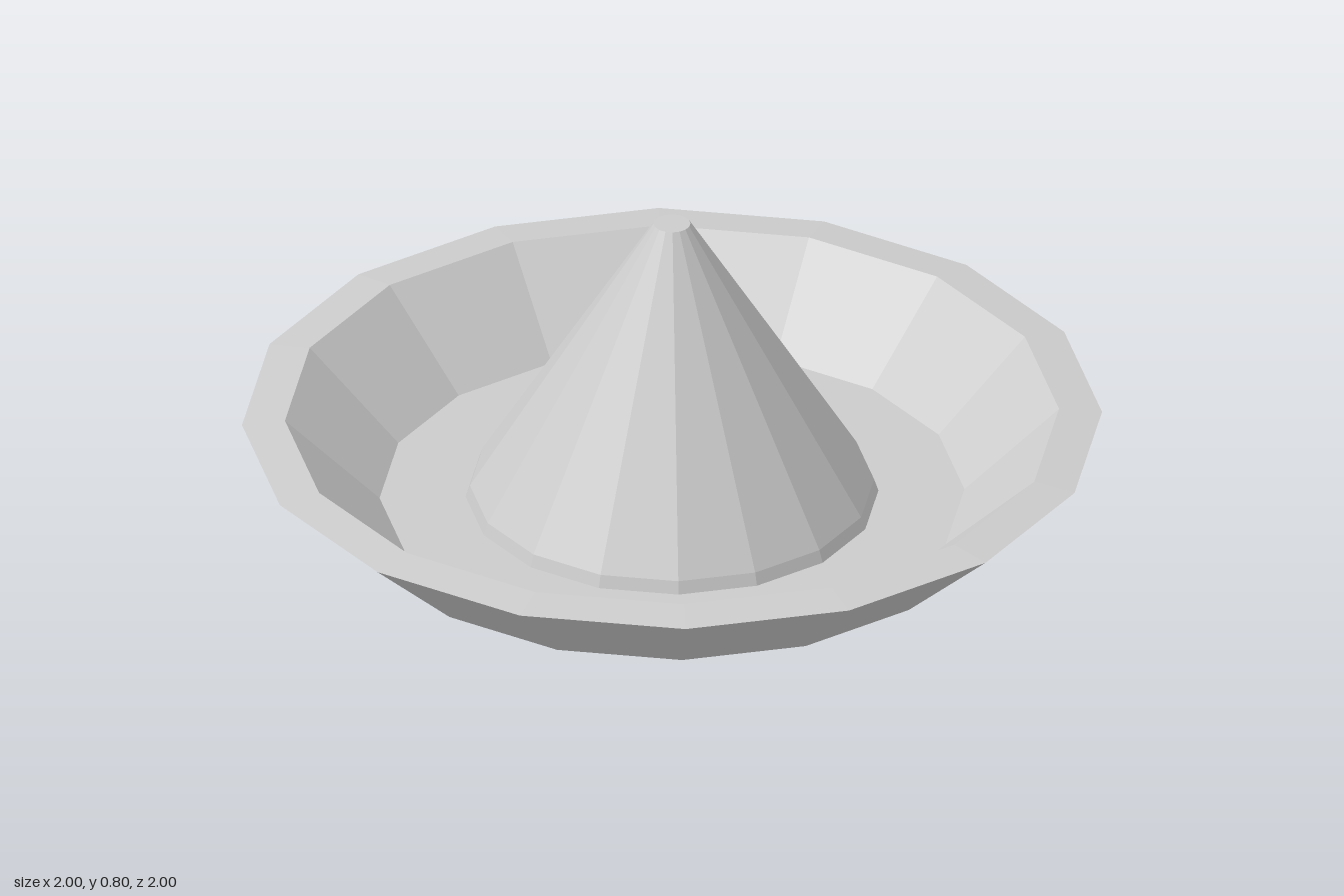
import * as THREE from 'three';

const SIDES = 16;

// Revolves a [radius, height] profile into a faceted ring.
function revolve(name, profile) {
  const points = profile.map(([r, y]) => new THREE.Vector2(r, y));
  const mesh = new THREE.Mesh(
    new THREE.LatheGeometry(points, SIDES),
    new THREE.MeshStandardMaterial({ color: 0xcccccc, flatShading: true })
  );
  mesh.name = name;
  return mesh;
}

export function createModel() {
  const group = new THREE.Group();
  group.name = 'conedDish';

  // Hollow inside the cone, open at the bottom
  group.add(revolve('coneCavity', [[0, 0.74], [0.03, 0.73], [0.25, 0.34], [0.28, 0]]));

  // Flat foot, shallow underside and flared outer wall
  group.add(revolve('outerShell', [[0.28, 0], [0.42, 0], [0.755, 0.06], [1, 0.28]]));

  // Rim sloping slightly up towards the bowl
  group.add(revolve('rim', [[1, 0.28], [0.9, 0.29]]));

  // Inner wall and floor of the bowl
  group.add(revolve('bowl', [[0.9, 0.29], [0.68, 0.08], [0.48, 0.08]]));

  // Central cone with a short upright base and a flat tip
  group.add(revolve('cone', [[0.48, 0.08], [0.47, 0.11], [0.285, 0.41], [0.043, 0.8], [0, 0.8]]));

  return group;
}
